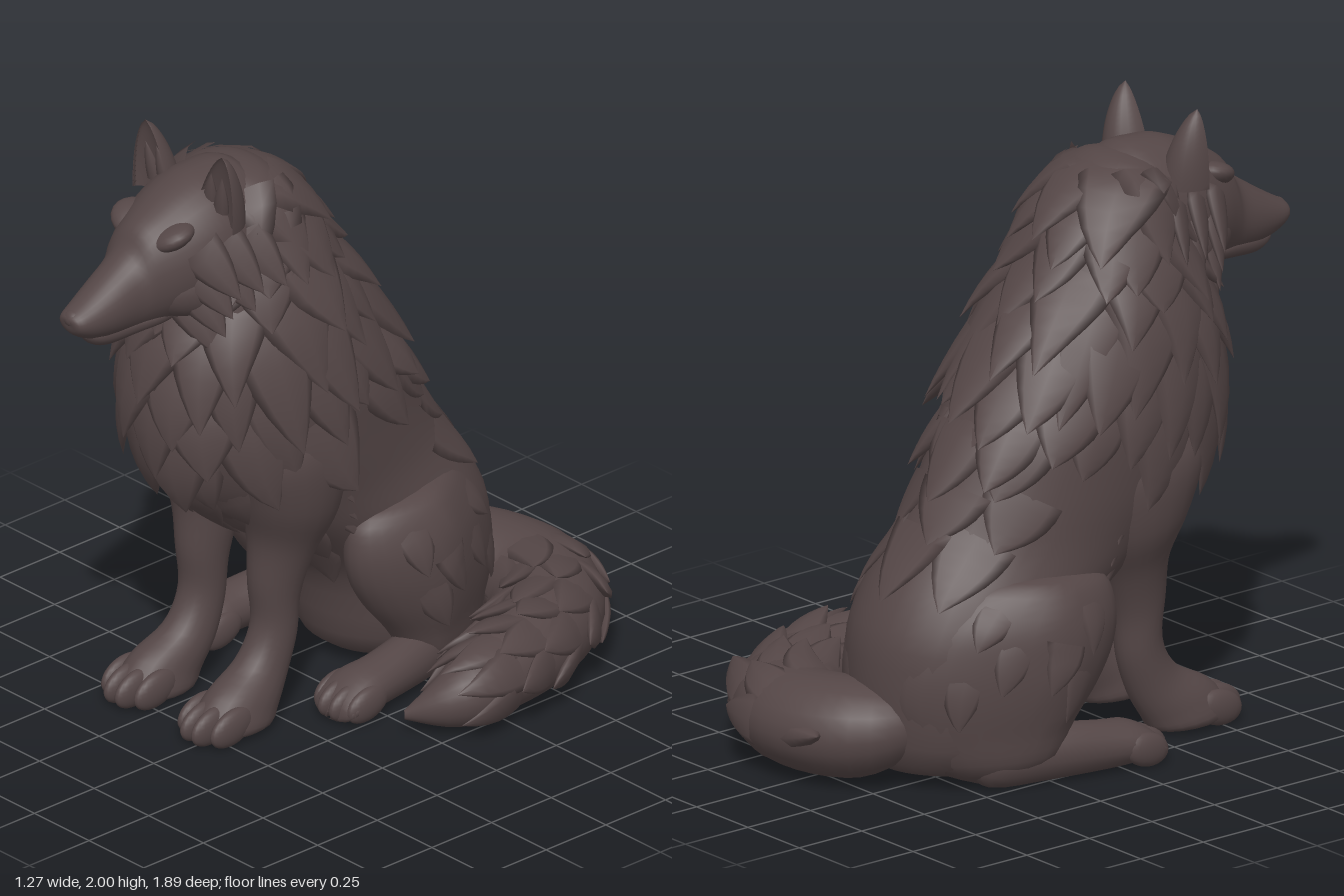
import * as THREE from 'three';
import { mergeGeometries } from 'three/addons/utils/BufferGeometryUtils.js';

const V = (x, y, z) => new THREE.Vector3(x, y, z);
const CX = -0.18; // centre line of the animal; the tail sweeps out to +x

// Smooth interpolation through rows of numbers, t in 0..1
function sample(keys, t) {
  const f = Math.min(Math.max(t, 0), 1) * (keys.length - 1);
  const i = Math.min(Math.floor(f), keys.length - 2), u = f - i;
  const k = (n) => keys[Math.min(Math.max(n, 0), keys.length - 1)];
  return keys[0].map((_, c) => {
    const a = k(i - 1)[c], b = k(i)[c], d = k(i + 1)[c], e = k(i + 2)[c];
    return b + 0.5 * u * (d - a + u * (2 * a - 5 * b + 4 * d - e + u * (3 * (b - d) + e - a)));
  });
}

// Closed skin over point(t, angle)
function skin(fn, nt, na) {
  const pos = [], index = [];
  for (let i = 0; i <= nt; i++) {
    for (let j = 0; j < na; j++) {
      const p = fn(i / nt, (j / na) * Math.PI * 2);
      pos.push(p.x, Math.max(0, p.y), p.z);
    }
  }
  for (let i = 0; i < nt; i++) {
    for (let j = 0; j < na; j++) {
      const a = i * na + j, c = i * na + ((j + 1) % na);
      index.push(a, a + na, c, c, a + na, c + na);
    }
  }
  const g = new THREE.BufferGeometry();
  g.setAttribute('position', new THREE.Float32BufferAttribute(pos, 3));
  g.setIndex(index);
  g.computeVertexNormals();
  return g;
}

// Sections given by [z front, y front, z back, y back, half width, x centre]
const sections = (keys) => (t, a) => {
  const [zf, yf, zb, yb, w, x] = sample(keys, t);
  const c = Math.cos(a) / 2;
  return V(x + Math.max(w, 0) * Math.sin(a),
    (yf + yb) / 2 + (yf - yb) * c, (zf + zb) / 2 + (zf - zb) * c);
};

// Sections round a path: [x, y, z, half width, half height]
const alongPath = (keys) => (t, a) => {
  const [x, y, z, w, h] = sample(keys, t);
  const p = sample(keys, t - 0.02), q = sample(keys, t + 0.02);
  const side = V(q[2] - p[2], 0, p[0] - q[0]).normalize();
  return V(x, y + h * Math.cos(a), z).addScaledVector(side, w * Math.sin(a));
};

// Pointed lock of fur: root sunk in the skin, tip lifted
function lock(frame, wid, thick, lift) {
  return skin((u, a) => {
    const { p, n, s } = frame(u), r = (1 - u) * (1 + 0.9 * u);
    return p.addScaledVector(n, lift * u - thick * (1 - u) + Math.cos(a) * thick * r)
      .addScaledVector(s, Math.sin(a) * wid * r);
  }, 6, 8);
}

// Straight lock from p along d with outward normal n
function straightLock(p, n, d, len, ...shape) {
  const dir = d.clone().addScaledVector(n, -d.dot(n)).normalize();
  const s = n.clone().cross(dir);
  return lock((u) => ({ p: p.clone().addScaledVector(dir, len * u), n, s }), ...shape);
}

// Lock that hugs a skin as it runs along it
function lockOn(fn, t, a, len, ...shape) {
  const span = len / (fn(t + 0.015, a).distanceTo(fn(t - 0.015, a)) / 0.03);
  return lock((u) => {
    const v = t + u * span;
    const d = fn(v + 0.01, a).sub(fn(v - 0.01, a)).normalize();
    const e = fn(v, a + 0.05).sub(fn(v, a - 0.05));
    const n = d.clone().cross(e).normalize();
    return { p: fn(v, a), n, s: n.clone().cross(d) };
  }, ...shape);
}

export function createModel() {
  const model = new THREE.Group();
  const fur = new THREE.MeshStandardMaterial({ color: 0x544646 });
  fur.name = 'dark brown fur';
  const add = (name, geo) => {
    const m = new THREE.Mesh(geo, fur);
    m.name = name;
    model.add(m);
    return m;
  };
  const ball = (name, x, y, z, rx, ry, rz, tilt = 0) => {
    const m = add(name, new THREE.SphereGeometry(1, 20, 14));
    m.position.set(x, y, z);
    m.scale.set(rx, ry, rz);
    m.rotation.x = tilt;
    return m;
  };
  let seed = 7;
  const rnd = () => (seed = (seed * 16807) % 2147483647) / 2147483647;

  // Torso from nape to seat
  const body = sections([
    [0.36, 1.87, 0.28, 1.87, 0.02, CX],
    [0.41, 1.78, 0.17, 1.85, 0.17, CX],
    [0.46, 1.60, 0.04, 1.72, 0.24, CX],
    [0.54, 1.43, -0.06, 1.55, 0.295, CX],
    [0.59, 1.26, -0.17, 1.39, 0.33, CX],
    [0.60, 1.05, -0.32, 1.14, 0.35, CX],
    [0.53, 0.83, -0.435, 0.92, 0.335, CX],
    [0.36, 0.66, -0.53, 0.76, 0.32, CX],
    [0.12, 0.50, -0.65, 0.59, 0.335, CX],
    [-0.04, 0.33, -0.71, 0.40, 0.33, CX],
    [-0.12, 0.06, -0.68, 0.08, 0.28, CX],
    [-0.3, 0.0, -0.5, 0.0, 0.02, CX],
  ]);
  add('torso', skin(body, 44, 36));

  // Staggered rows of broad mane locks
  const mane = [];
  for (let row = 0; row < 8; row++) {
    const count = row < 2 ? 8 : 11;
    for (let j = 0; j < count; j++) {
      const a = ((j + (row % 2) / 2) / count) * Math.PI * 2 + (rnd() - 0.5) * 0.15;
      mane.push(lockOn(body, 0.08 + row * 0.053 + (rnd() - 0.5) * 0.035, a,
        0.22 + rnd() * 0.11, 0.115 + rnd() * 0.04, 0.04, 0.03 + rnd() * 0.035));
    }
  }
  // Belly locks between the legs and flat ones down the back
  for (let row = 0; row < 5; row++) {
    const odd = row % 2 ? 0.2 : 0;
    for (const a of [-0.4, 0, 0.4]) mane.push(lockOn(body, 0.5 + row * 0.06, a + odd, 0.2, 0.09, 0.025, 0.02));
    if (row < 3) {
      for (const a of [-0.6, 0, 0.6]) mane.push(lockOn(body, 0.47 + row * 0.07, Math.PI + a + odd, 0.24, 0.13, 0.02, 0.012));
    }
  }
  add('mane', mergeGeometries(mane));

  // Skull and upper muzzle, with a clear step at the brow
  add('head', skin(sections([
    [0.18, 1.72, 0.18, 1.62, 0.05, CX],
    [0.26, 1.87, 0.26, 1.46, 0.18, CX],
    [0.40, 1.885, 0.40, 1.42, 0.205, CX],
    [0.50, 1.86, 0.50, 1.42, 0.195, CX],
    [0.60, 1.81, 0.60, 1.43, 0.16, CX],
    [0.67, 1.765, 0.68, 1.43, 0.122, CX],
    [0.715, 1.70, 0.73, 1.43, 0.10, CX],
    [0.80, 1.64, 0.82, 1.44, 0.085, CX],
    [0.88, 1.59, 0.89, 1.46, 0.068, CX],
    [0.94, 1.555, 0.935, 1.49, 0.046, CX],
    [0.95, 1.535, 0.945, 1.525, 0.005, CX],
  ]), 40, 28));
  add('lowerJaw', skin(sections([
    [0.50, 1.54, 0.50, 1.44, 0.06, CX],
    [0.60, 1.52, 0.60, 1.43, 0.10, CX],
    [0.72, 1.51, 0.72, 1.415, 0.075, CX],
    [0.82, 1.50, 0.81, 1.41, 0.055, CX],
    [0.87, 1.49, 0.86, 1.43, 0.04, CX],
    [0.885, 1.48, 0.885, 1.46, 0.005, CX],
  ]), 20, 18));
  ball('nose', CX, 1.535, 0.92, 0.036, 0.03, 0.03);

  const locks = [];
  for (const s of [-1, 1]) {
    // Brow ridge sloping down to the muzzle, narrow eye beneath it
    const brow = ball('brow', CX + s * 0.08, 1.735, 0.585, 0.085, 0.04, 0.075, 0.3);
    brow.rotation.z = s * 0.35;
    const eye = ball('eye', CX + s * 0.085, 1.685, 0.655, 0.024, 0.01, 0.014);
    eye.rotation.z = s * 0.4;
    const cheek = ball('cheek', CX + s * 0.10, 1.555, 0.47, 0.105, 0.115, 0.21);
    cheek.rotation.y = -s * 0.25;

    // Ear, cupped towards the front
    add('ear', skin((t, a) => {
      const r = Math.pow(1 - t, 0.7) * (1 + 0.45 * t), c = Math.cos(a);
      return V(CX + s * (0.14 + 0.035 * t) - 0.088 * r * Math.sin(a), 1.75 + 0.25 * t,
        0.465 - 0.005 * t + (c < 0 ? 0.11 * c : -0.04 * c) * r);
    }, 14, 20));
    for (const o of [-0.03, 0.02]) {
      locks.push(straightLock(V(CX + s * (0.13 + o), 1.80, 0.46), V(0, 0, 1), V(s * 0.2, 1, 0), 0.13, 0.03, 0.02, 0));
    }

    // Cheek ruff fanning out below the ear
    for (let row = 0; row < 3; row++) {
      for (let i = 0; i < 4; i++) {
        locks.push(straightLock(
          V(CX + s * (0.18 + 0.012 * row - 0.018 * i), 1.71 - i * 0.062, 0.56 - row * 0.085),
          V(s, 0, 0.6).normalize(), V(s * 0.3, -0.8 - 0.15 * i, -0.55), 0.2, 0.075, 0.03, 0.05));
      }
    }

    // Front leg, from shoulder to paw
    const x = CX + s * 0.165;
    add('frontLeg', skin(sections([
      [0.30, 1.10, 0.10, 1.10, 0.03, x + s * 0.06],
      [0.42, 0.96, 0.00, 0.92, 0.13, x + s * 0.06],
      [0.38, 0.78, 0.03, 0.70, 0.14, x + s * 0.04],
      [0.325, 0.62, 0.10, 0.54, 0.105, x + s * 0.01],
      [0.32, 0.46, 0.145, 0.40, 0.08, x],
      [0.31, 0.32, 0.16, 0.26, 0.072, x],
      [0.37, 0.21, 0.20, 0.14, 0.078, x],
      [0.50, 0.135, 0.25, 0.05, 0.095, x + s * 0.01],
      [0.57, 0.03, 0.28, 0.01, 0.10, x + s * 0.01],
      [0.45, 0.0, 0.34, 0.0, 0.01, x],
    ]), 40, 20));
    for (let i = 0; i < 4; i++) {
      ball('frontToe', x + s * 0.01 + (i - 1.5) * 0.05, 0.058, i % 3 ? 0.52 : 0.485, 0.031, 0.058, 0.09, 0.25);
    }
    // Feathering behind the elbow
    for (let i = 0; i < 3; i++) {
      locks.push(straightLock(V(x + s * (0.12 - i * 0.01), 0.86 - i * 0.07, 0.10 - i * 0.02),
        V(s, 0, 0), V(0, -0.9, -0.4), 0.17, 0.06, 0.03, 0.03));
    }

    // Haunch folded beside the body, drawn in towards the rump
    const hx = CX + s * 0.285;
    const thigh = sections([
      [-0.14, 0.66, -0.30, 0.67, 0.02, hx - s * 0.02],
      [-0.01, 0.62, -0.46, 0.65, 0.10, hx - s * 0.01],
      [0.025, 0.52, -0.60, 0.54, 0.145, hx],
      [0.01, 0.41, -0.67, 0.42, 0.16, hx],
      [-0.05, 0.30, -0.69, 0.30, 0.155, hx],
      [-0.14, 0.19, -0.66, 0.18, 0.135, hx],
      [-0.22, 0.08, -0.58, 0.06, 0.11, hx],
      [-0.34, 0.0, -0.44, 0.0, 0.02, hx],
    ]);
    const haunch = (t, a) => {
      const p = thigh(t, a);
      p.x += s * 0.42 * Math.min(0, p.z + 0.27);
      return p;
    };
    add('haunch', skin(haunch, 28, 28));
    for (let i = 0; i < 6; i++) {
      locks.push(lockOn(haunch, 0.22 + (i % 3) * 0.13, s * (1.1 + (i > 2 ? 0.8 : 0) + (i % 2) * 0.35),
        0.17, 0.07, 0.018, 0.012));
    }

    // Long hind foot
    const fx = CX + s * 0.335;
    add('hindFoot', skin(sections([
      [-0.50, 0.10, -0.50, 0.06, 0.01, fx - s * 0.09],
      [-0.44, 0.17, -0.44, 0.0, 0.07, fx - s * 0.08],
      [-0.25, 0.18, -0.25, 0.0, 0.08, fx - s * 0.03],
      [-0.05, 0.155, -0.05, 0.0, 0.085, fx],
      [0.06, 0.135, 0.06, 0.0, 0.10, fx],
      [0.14, 0.08, 0.14, 0.0, 0.09, fx],
      [0.16, 0.03, 0.16, 0.01, 0.01, fx],
    ]), 24, 18));
    for (let i = 0; i < 4; i++) {
      ball('hindToe', fx + (i - 1.5) * 0.05, 0.055, i % 3 ? 0.095 : 0.065, 0.031, 0.055, 0.085, 0.25);
    }
  }
  add('furLocks', mergeGeometries(locks));

  // Tail curling round to the left side
  const tail = alongPath([
    [-0.25, 0.20, -0.56, 0.10, 0.10],
    [-0.13, 0.17, -0.69, 0.18, 0.155],
    [0.08, 0.16, -0.75, 0.19, 0.155],
    [0.27, 0.15, -0.66, 0.175, 0.15],
    [0.40, 0.15, -0.47, 0.155, 0.145],
    [0.455, 0.14, -0.27, 0.13, 0.13],
    [0.45, 0.11, -0.10, 0.10, 0.10],
    [0.37, 0.06, 0.04, 0.01, 0.015],
  ]);
  add('tail', skin(tail, 36, 24));
  const tailLocks = [straightLock(V(-0.02, 0.2, -0.86), V(0, 1, 0), V(-1, 0, -0.35), 0.17, 0.07, 0.05, 0)];
  for (let row = 0; row < 6; row++) {
    for (let j = 0; j < 5; j++) {
      tailLocks.push(lockOn(tail, 0.3 + row * 0.085, -1.9 + ((j + (row % 2) / 2) / 5) * 4.2,
        0.18 + rnd() * 0.05, 0.08, 0.03, 0.02 + rnd() * 0.035));
    }
  }
  add('tailFur', mergeGeometries(tailLocks));
  return model;
}
